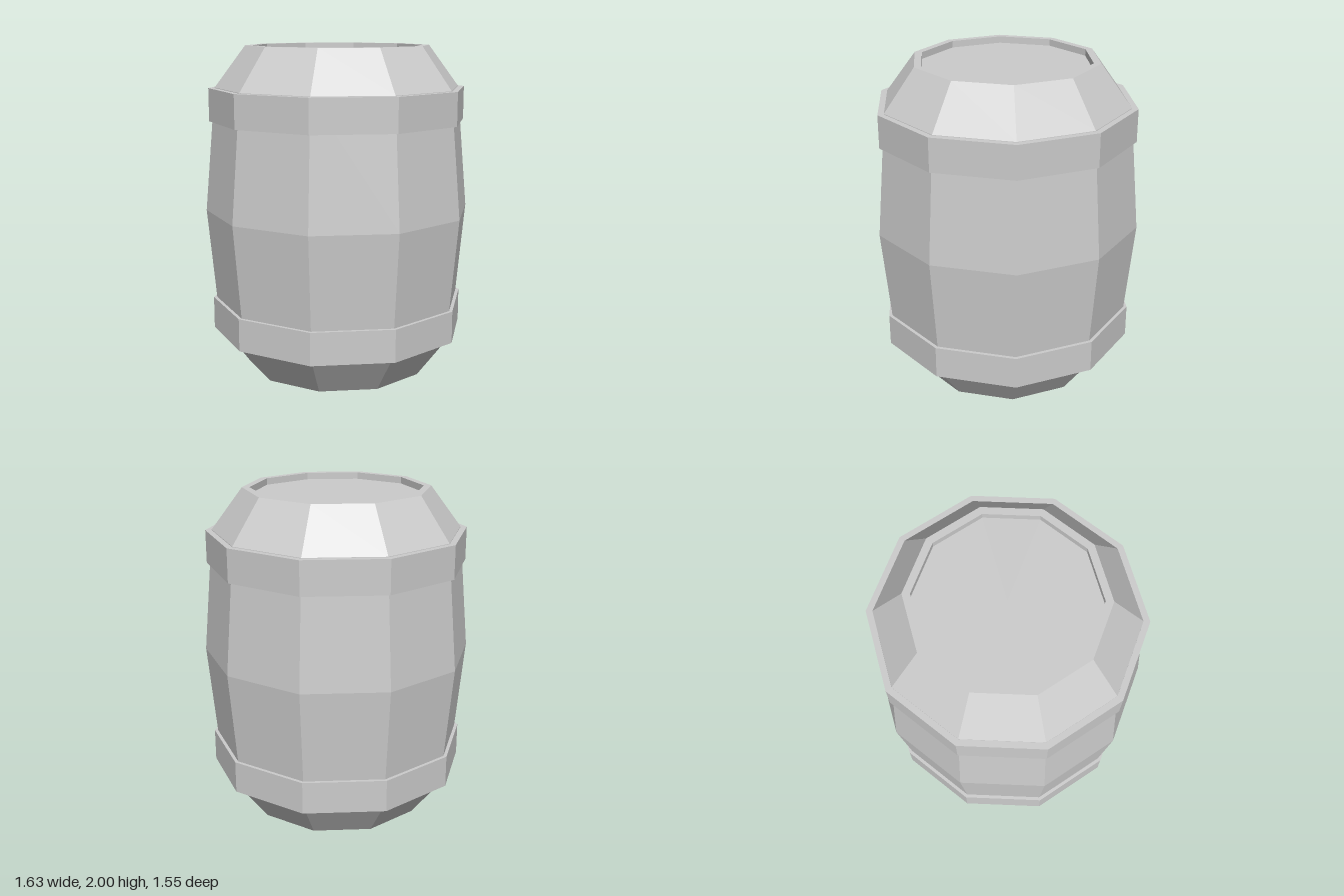
import * as THREE from 'three';

const SIDES = 10;

export function createModel() {
  const group = new THREE.Group();
  const material = new THREE.MeshStandardMaterial({ color: 0xcccccc, flatShading: true });

  // Ten-sided turned part; a corner points along +x and -x
  const turned = (name, profile) => {
    const points = profile.map(([r, y]) => new THREE.Vector2(r, y));
    const mesh = new THREE.Mesh(new THREE.LatheGeometry(points, SIDES, Math.PI / 2), material);
    mesh.name = name;
    group.add(mesh);
  };

  // Lower half: recessed lid, rim, chamfer and bulging staves
  const lower = [[0, 0.04], [0.515, 0.04], [0.515, 0], [0.56, 0], [0.747, 0.25]];
  const upper = lower.map(([r, y]) => [r, 2 - y]).reverse();
  turned('barrelBody', [...lower, [0.815, 1], ...upper]);

  // Hoops, closed rings around the body
  const hoop = (name, y0, y1) =>
    turned(name, [[0.73, y0], [0.785, y0], [0.785, y1], [0.73, y1]]);
  hoop('lowerHoop', 0.243, 0.44);
  hoop('upperHoop', 1.547, 1.747);

  return group;
}
